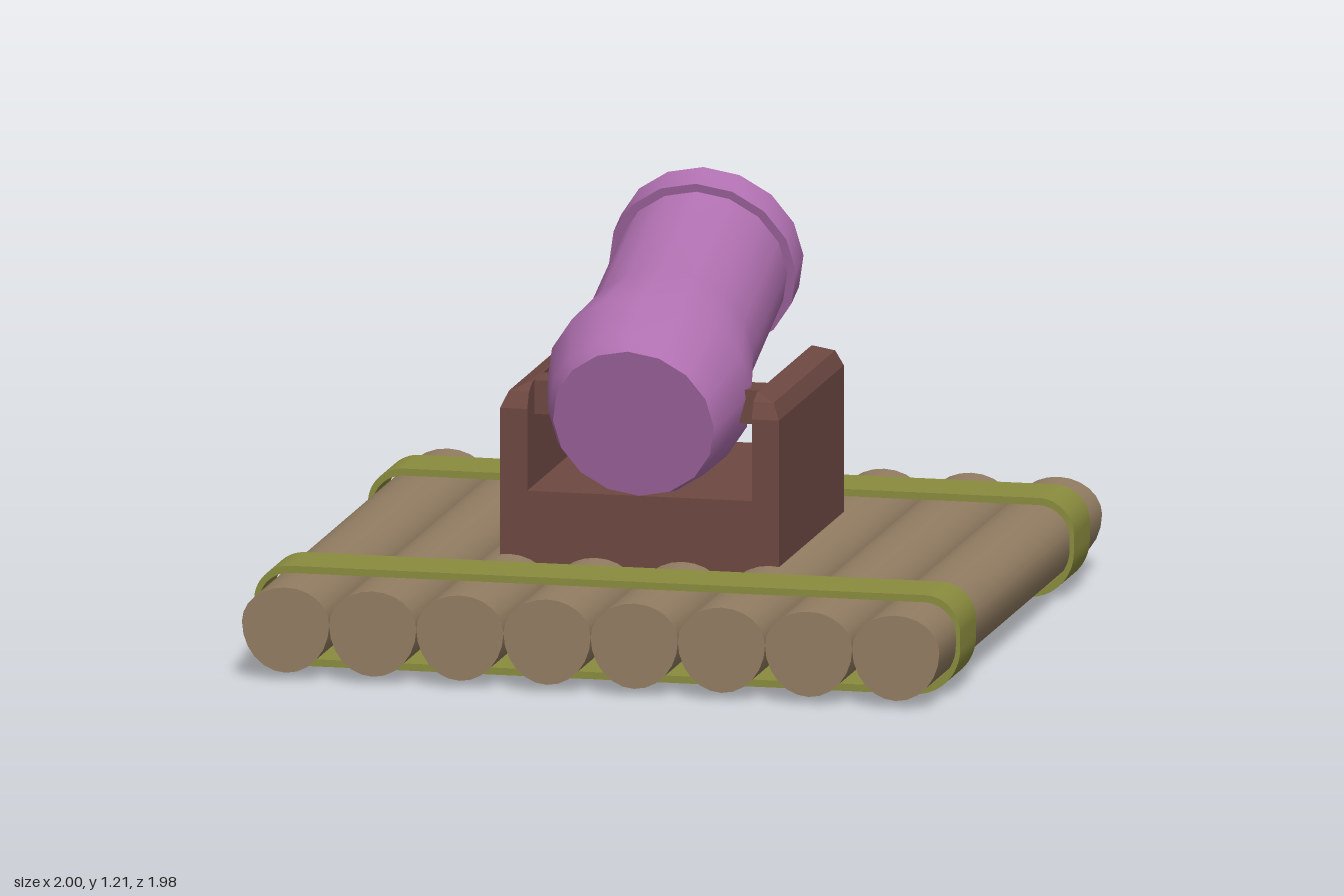
import * as THREE from 'three';
import { toCreasedNormals } from 'three/addons/utils/BufferGeometryUtils.js';
import { ConvexGeometry } from 'three/addons/geometries/ConvexGeometry.js';

const wood = new THREE.MeshStandardMaterial({ color: 0x927d62 });
const strapGreen = new THREE.MeshStandardMaterial({ color: 0x8a8c3e });
const darkWood = new THREE.MeshStandardMaterial({ color: 0x6e4842 });
const purple = new THREE.MeshStandardMaterial({ color: 0xb070b0 });

function add(parent, name, geometry, material, x = 0, y = 0, z = 0) {
  const mesh = new THREE.Mesh(geometry, material);
  mesh.name = name;
  mesh.position.set(x, y, z);
  parent.add(mesh);
  return mesh;
}

// Log lying along z, flatter on top than underneath
function logGeometry() {
  const g = new THREE.CylinderGeometry(0.1235, 0.1235, 1.98, 24);
  g.rotateX(Math.PI / 2);
  const p = g.attributes.position;
  for (let i = 0; i < p.count; i++) {
    const y = p.getY(i);
    p.setY(i, y * (y > 0 ? 0.1 : 0.14) / 0.1235);
  }
  return toCreasedNormals(g, 0.7);
}

// Rounded outline around the logs, tighter at the top corners
function outline(target, w, bottom, top, rTop, rBottom) {
  target.moveTo(-w + rBottom, bottom);
  target.lineTo(w - rBottom, bottom);
  target.absarc(w - rBottom, bottom + rBottom, rBottom, -Math.PI / 2, 0);
  target.absarc(w - rTop, top - rTop, rTop, 0, Math.PI / 2);
  target.absarc(-w + rTop, top - rTop, rTop, Math.PI / 2, Math.PI);
  target.absarc(-w + rBottom, bottom + rBottom, rBottom, Math.PI, Math.PI * 1.5);
  return target;
}

function strapGeometry() {
  const shape = outline(new THREE.Shape(), 1, 0.005, 0.285, 0.1, 0.13);
  shape.holes.push(outline(new THREE.Path(), 0.988, 0.025, 0.265, 0.09, 0.12));
  const g = new THREE.ExtrudeGeometry(shape, { depth: 0.195, bevelEnabled: false, curveSegments: 8 });
  g.translate(0, 0, -0.0975);
  return toCreasedNormals(g, 0.7);
}

// Cheek wall with outer, front and back edges bevelled in two steps
function cheekGeometry(side) {
  const rings = [[0.44, 0.395, 0.395], [0.675, 0.395, 0.395], [0.72, 0.375, 0.375], [0.74, 0.325, 0.33]];
  const points = [];
  for (const [y, x, z] of rings) {
    for (const s of [-1, 1]) {
      points.push(new THREE.Vector3(side * x, y, s * z), new THREE.Vector3(side * 0.318, y, s * z));
    }
  }
  return new ConvexGeometry(points);
}

export function createModel() {
  const model = new THREE.Group();
  model.name = 'raftCannon';

  // Raft deck
  const raft = new THREE.Group();
  raft.name = 'raft';
  model.add(raft);
  const log = logGeometry();
  for (let i = 0; i < 8; i++) add(raft, 'log', log, wood, (i - 3.5) * 0.247, 0.165, 0);
  const strap = strapGeometry();
  for (const s of [-1, 1]) add(raft, 'strap', strap, strapGreen, 0, 0, s * 0.6925);

  // Carriage
  const carriage = new THREE.Group();
  carriage.name = 'carriage';
  model.add(carriage);
  add(carriage, 'carriageBase', new THREE.BoxGeometry(0.79, 0.21, 0.79), darkWood, 0, 0.34, 0);
  for (const s of [-1, 1]) add(carriage, s > 0 ? 'leftCheek' : 'rightCheek', cheekGeometry(s), darkWood);
  add(carriage, 'crossBar', new THREE.BoxGeometry(0.65, 0.095, 0.11), darkWood, 0, 0.692, 0.255);

  // Barrel with bulging breech, muzzle collar and open bore
  const profile = [
    [0, 0], [0.228, 0], [0.25, 0.045], [0.29, 0.205], [0.242, 0.44], [0.24, 0.885],
    [0.265, 0.885], [0.265, 0.98], [0.222, 0.98], [0.205, 0.88], [0.2, 0.4], [0, 0.4],
  ].map(([r, y]) => new THREE.Vector2(r, y));
  const barrel = add(model, 'barrel', toCreasedNormals(new THREE.LatheGeometry(profile, 16), 0.7), purple, 0, 0.663, 0.47);
  barrel.rotation.x = -THREE.MathUtils.degToRad(72);

  return model;
}
